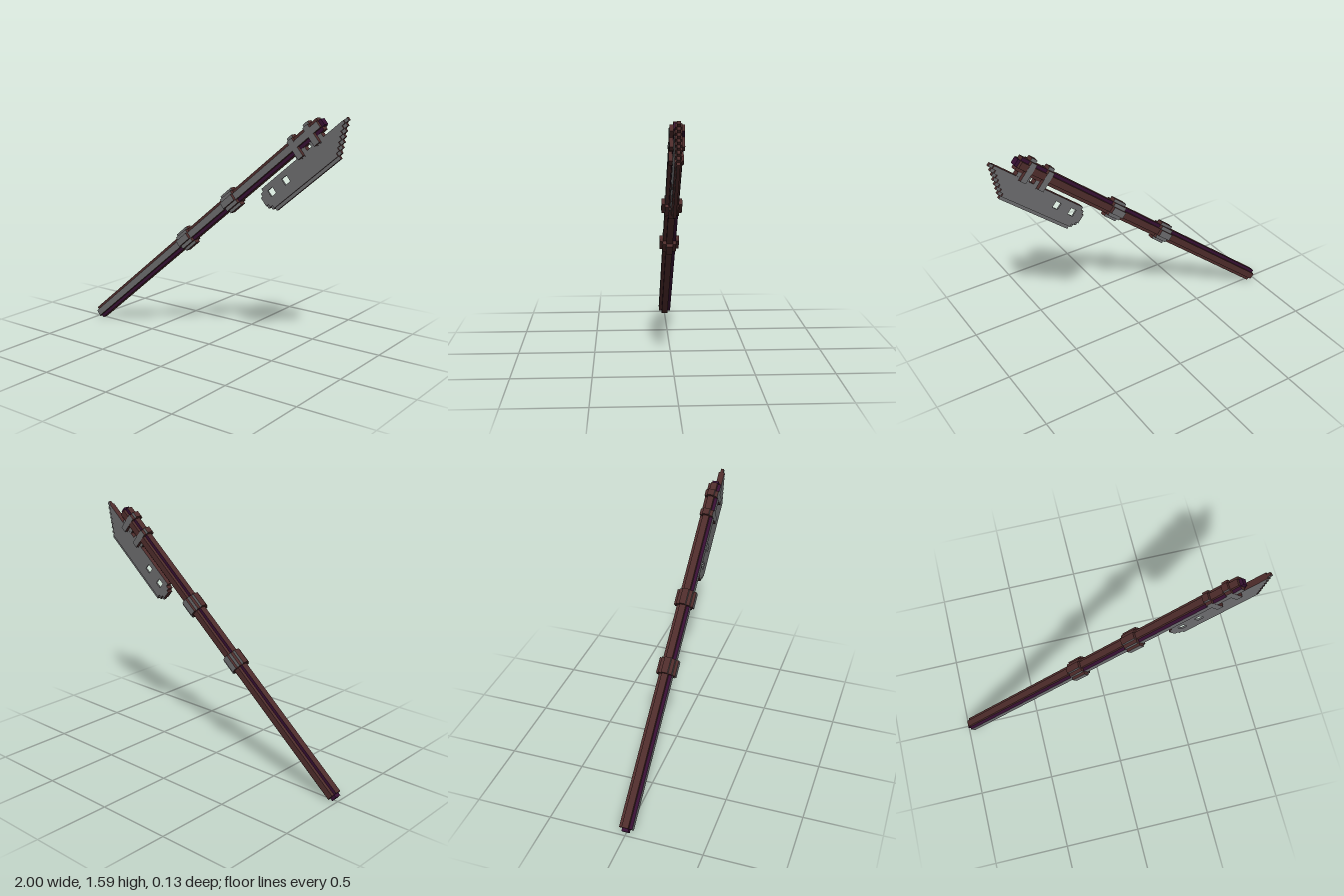
import * as THREE from 'three';

const S = 0.0213; // one block of the stepped style

export function createModel() {
  const mat = (name, color) => {
    const m = new THREE.MeshStandardMaterial({ color });
    m.name = name;
    return m;
  };
  const steel = mat('steel grey', 0x6c6c6e);
  const wood = mat('dark red wood', 0x4e2c2b);
  const purple = mat('dark purple', 0x360f32);

  // Local frame: x runs along the shaft, y across it towards the back of the blade
  const weapon = new THREE.Group();
  weapon.name = 'polearm';

  // Box from min/max ranges; faces are +x, -x, +y, -y, +z, -z
  function box(name, x, y, z, mats) {
    const g = new THREE.BoxGeometry(x[1] - x[0], y[1] - y[0], z[1] - z[0]);
    const m = new THREE.Mesh(g, mats);
    m.name = name;
    m.position.set((x[0] + x[1]) / 2, (y[0] + y[1]) / 2, (z[0] + z[1]) / 2);
    weapon.add(m);
  }
  const plated = [wood, wood, wood, wood, steel, steel];

  // Shaft: a plus-shaped section with alternating strips in the notches
  const len = [-0.72, 1.62];
  box('shaftFront', len, [-S, S], [0, 2 * S], [wood, wood, purple, wood, steel, wood]);
  box('shaftBack', len, [-S, S], [-2 * S, 0], [wood, wood, wood, purple, wood, wood]);
  box('shaftUpper', len, [0, 2 * S], [-S, S], [wood, wood, wood, wood, wood, purple]);
  box('shaftLower', len, [-2 * S, 0], [-S, S], [wood, wood, wood, wood, purple, wood]);
  box('shaftBottomTip', [-0.741, -0.72], [-S, S], [-S, S], purple);
  box('shaftTopTip', [1.62, 1.641], [-S, S], [-S, S], purple);

  // Stepped rings around the shaft
  for (const u of [0.324, 0.794]) {
    const x = [u - 0.052, u + 0.052];
    for (const [v, w] of [[3, 1], [2.1, 2.1], [1, 3]]) {
      box('ring', x, [-v * S, v * S], [-w * S, w * S], plated);
    }
  }

  // Blade outline with a staircase towards the point
  function bladeShape(rows, inset) {
    const top = -0.07, h = 0.0207, p = [[1.035, top]];
    for (let i = 0; i < rows; i++) {
      const r = 1.78 - inset - i * 0.0255;
      p.push([r, top - i * h], [r, top - (i + 1) * h]);
    }
    const b = top - rows * h;
    p.push([1.04, b], [1.04, b + h], [1.018, b + h], [1.018, b + 2 * h], [0.997, b + 2 * h]);
    p.push([0.997, -0.112], [1.012, -0.112], [1.012, -0.091], [1.035, -0.091]);
    const shape = new THREE.Shape(p.map(([x, y]) => new THREE.Vector2(x, y)));
    for (const u of [1.089, 1.218]) {
      const a = 0.0215, c = -0.127;
      shape.holes.push(new THREE.Path([
        new THREE.Vector2(u - a, c - a), new THREE.Vector2(u - a, c + a),
        new THREE.Vector2(u + a, c + a), new THREE.Vector2(u + a, c - a),
      ]));
    }
    return shape;
  }
  function blade(name, rows, inset, half) {
    const g = new THREE.ExtrudeGeometry(bladeShape(rows, inset), { depth: 2 * half, bevelEnabled: false });
    g.translate(0, 0, -half);
    const m = new THREE.Mesh(g, [steel, wood]);
    m.name = name;
    weapon.add(m);
  }
  blade('bladeBody', 7, 0.026, 0.02);
  blade('bladeEdge', 8, 0, 0.01);

  // Teeth joining blade and shaft
  for (const x of [[1.36, 1.45], [1.488, 1.59]]) {
    box('bladeTooth', x, [-0.075, -0.03], [-0.019, 0.019], plated);
  }

  // Straps clamping the blade to the shaft
  for (const u of [1.4, 1.54]) {
    const x = [u - S, u + S];
    box('strap', x, [-0.09, 0.064], [-S * 1.05, S * 1.05], plated);
    box('strapSide', x, [-0.085, 0.044], [-0.0435, 0.0435], plated);
  }

  // Lean the weapon diagonally
  const a = THREE.MathUtils.degToRad(40), off = 0.654;
  weapon.rotation.z = a;
  weapon.position.set(-Math.sin(a) * off, Math.cos(a) * off, 0);

  const group = new THREE.Group();
  group.name = 'model';
  group.add(weapon);
  return group;
}
